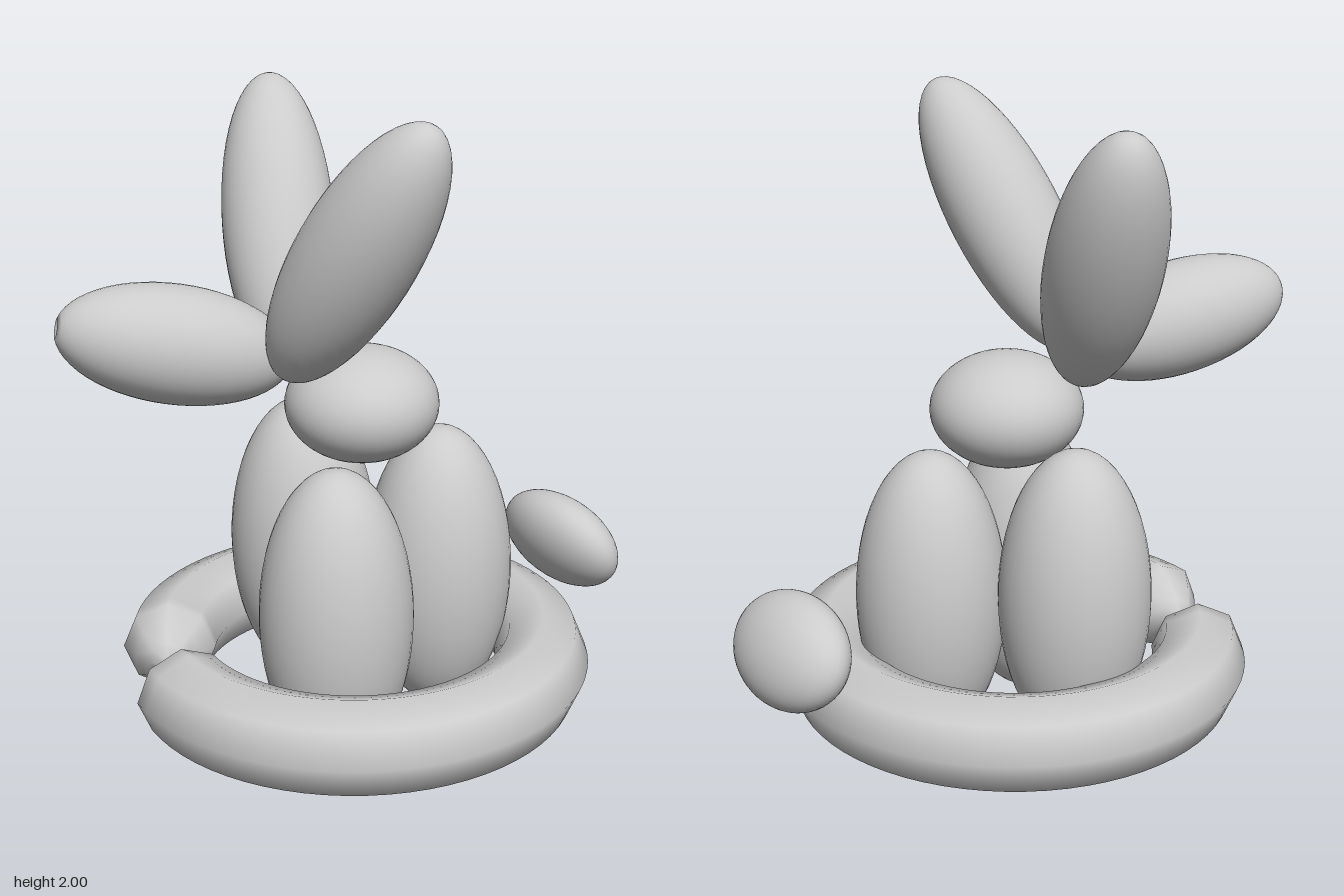
import * as THREE from 'three';
import { mergeVertices } from 'three/addons/utils/BufferGeometryUtils.js';

const material = new THREE.MeshStandardMaterial({ color: 0xcccccc });
const UP = new THREE.Vector3(0, 1, 0);

function add(group, name, geometry, position) {
  const mesh = new THREE.Mesh(geometry, material);
  mesh.name = name;
  mesh.position.set(...position);
  group.add(mesh);
  return mesh;
}

// Ellipsoid balloon with its three half sizes
function balloon(rx, ry, rz) {
  return new THREE.SphereGeometry(1, 40, 28).scale(rx, ry, rz);
}

function aim(mesh, direction) {
  mesh.quaternion.setFromUnitVectors(UP, new THREE.Vector3(...direction).normalize());
}

// Long balloon whose far end has a small knot dimple
function dimpledBalloon(radius, half) {
  const points = [];
  const end = Math.acos(0.03 / radius);
  for (let i = 0; i <= 28; i++) {
    const a = -Math.PI / 2 + (end + Math.PI / 2) * (i / 28);
    points.push(new THREE.Vector2(Math.max(0, radius * Math.cos(a)), half * Math.sin(a)));
  }
  points.push(new THREE.Vector2(0.02, half - 0.022), new THREE.Vector2(0, half - 0.03));
  return new THREE.LatheGeometry(points, 40);
}

// Ring balloon pinched to a narrow twist at one place
function pinchedRing(R, r, pinchAngle) {
  const torus = new THREE.TorusGeometry(R, r, 8, 72);
  torus.deleteAttribute('uv');
  torus.deleteAttribute('normal');
  const pos = torus.attributes.position;
  for (let i = 0; i < pos.count; i++) {
    const x = pos.getX(i), y = pos.getY(i);
    const a = Math.atan2(y, x);
    const s = Math.min(1, 0.12 + 0.88 * Math.abs(a) / THREE.MathUtils.degToRad(15));
    const d = R + (Math.hypot(x, y) - R) * s;
    pos.setXYZ(i, d * Math.cos(a), d * Math.sin(a), pos.getZ(i) * s);
  }
  const ring = mergeVertices(torus, 1e-4);
  ring.rotateX(Math.PI / 2).rotateY(-pinchAngle);
  ring.computeVertexNormals();
  return ring;
}

export function createModel() {
  const model = new THREE.Group();
  model.name = 'balloonAnimal';

  // Three upright body balloons
  const bodies = [
    ['bodyRight', -0.24, 0.475, 0.155],
    ['bodyLeft', 0.218, 0.487, 0.085],
    ['bodyBack', -0.035, 0.53, -0.287],
  ];
  for (const [name, x, y, z] of bodies) {
    add(model, name, balloon(0.233, 0.473, 0.233), [x, y, z]);
  }

  // Ring around the body
  add(model, 'baseRing', pinchedRing(0.59, 0.146, THREE.MathUtils.degToRad(205)), [-0.05, 0.24, 0]);

  // Head joint, ears and snout
  add(model, 'head', balloon(0.235, 0.175, 0.235), [-0.02, 1.065, 0]);
  aim(add(model, 'frontEar', balloon(0.172, 0.471, 0.172), [-0.22, 1.595, 0.225]), [0.143, 0.835, 0.532]);
  aim(add(model, 'backEar', balloon(0.172, 0.471, 0.172), [-0.067, 1.567, -0.353]), [0.246, 0.869, -0.429]);
  aim(add(model, 'snout', dimpledBalloon(0.176, 0.353), [-0.535, 1.297, -0.22]), [-0.891, 0.213, -0.401]);

  // Small tail balloon
  const tail = add(model, 'tail', balloon(0.117, 0.174, 0.235), [0.725, 0.455, 0.125]);
  tail.rotation.z = THREE.MathUtils.degToRad(26);

  return model;
}
